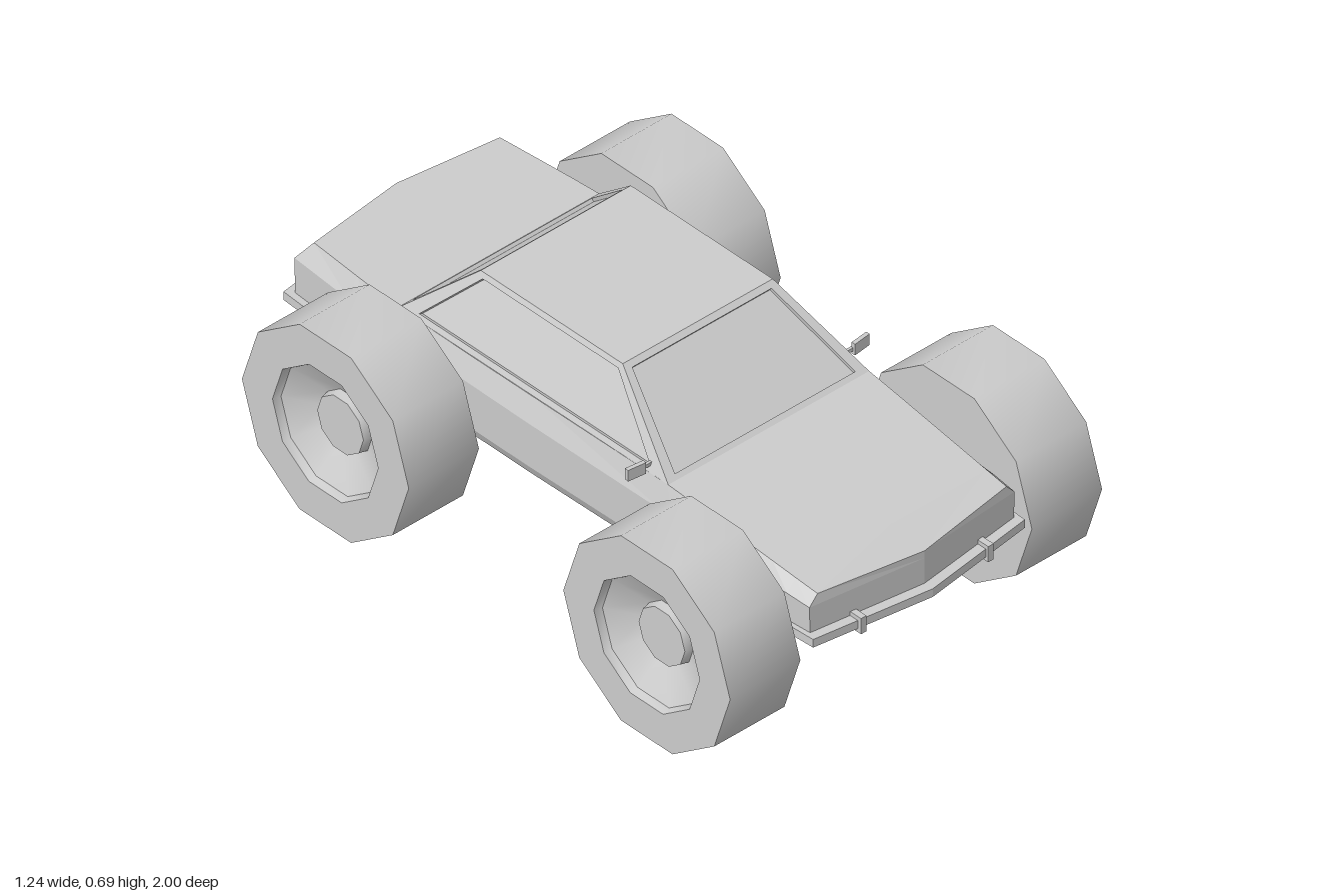
import * as THREE from 'three';
import { toCreasedNormals } from 'three/addons/utils/BufferGeometryUtils.js';

const flat = new THREE.MeshStandardMaterial({ color: 0xcccccc, flatShading: true });
const smooth = new THREE.MeshStandardMaterial({ color: 0xcccccc });

// Turns a list of four-cornered faces into a geometry, skipping empty triangles
function quadGeometry(quads) {
  const pos = [];
  const tri = new THREE.Triangle();
  for (const [a, b, c, d] of quads) {
    for (const t of [[a, b, c], [a, c, d]]) {
      tri.set(...t);
      if (tri.getArea() > 1e-7) t.forEach((p) => pos.push(p.x, p.y, p.z));
    }
  }
  const g = new THREE.BufferGeometry();
  g.setAttribute('position', new THREE.Float32BufferAttribute(pos, 3));
  g.computeVertexNormals();
  return g;
}

function addMesh(parent, name, geometry, material = flat) {
  const mesh = new THREE.Mesh(geometry, material);
  mesh.name = name;
  parent.add(mesh);
  return mesh;
}

const V = (x, y, z) => new THREE.Vector3(x, y, z);

// One cross-section: left-hand rows from shoulder to floor, plus the centre line
function section(z, rows, bow = 0, shift = [0, 0, 0, 0, 0], crown = 0) {
  const left = rows.map(([x, y], i) => V(x, y, z + shift[i]));
  const mid = left.map((p, i) => V(0, p.y + (i === 0 ? crown : 0), p.z + bow));
  const right = left.map((p) => V(-p.x, p.y, p.z));
  const ring = [mid[0], ...left, mid[4], ...right.slice().reverse()];
  return { left, mid, right, ring };
}

// Rows are shoulder, belt, sill, inner sill and floor edge
function bodyRows(sx, sy, bx, by, floor, arch) {
  return arch
    ? [[sx, sy], [bx, by], [bx, by - 0.02], [0.245, by - 0.02], [0.245, floor]]
    : [[sx, sy], [bx, by], [bx - 0.003, 0.3], [bx - 0.003, 0.3], [bx - 0.02, floor]];
}

// Lower body with wheel arches and bowed ends
function bodyGeometry() {
  const s = [
    section(0.925, bodyRows(0.315, 0.445, 0.342, 0.415, 0.287), 0.045, [0, 0, 0, 0, 0], -0.008),
    section(0.85, bodyRows(0.318, 0.453, 0.347, 0.42, 0.287)),
    section(0.77, bodyRows(0.321, 0.462, 0.35, 0.422, 0.285, true)),
    section(0.52, bodyRows(0.331, 0.489, 0.354, 0.429, 0.27, true)),
    section(0.44, bodyRows(0.334, 0.497, 0.355, 0.43, 0.265)),
    section(0.41, bodyRows(0.335, 0.5, 0.355, 0.43, 0.265)),
    section(-0.07, bodyRows(0.337, 0.5, 0.361, 0.435, 0.265)),
    section(-0.31, bodyRows(0.337, 0.5, 0.36, 0.437, 0.265)),
    section(-0.39, bodyRows(0.336, 0.5, 0.359, 0.438, 0.268, true)),
    section(-0.56, bodyRows(0.335, 0.5, 0.356, 0.44, 0.275, true)),
    section(-0.64, bodyRows(0.33, 0.5, 0.354, 0.441, 0.28, true)),
    section(-0.72, bodyRows(0.324, 0.5, 0.352, 0.442, 0.285)),
    section(-0.93, bodyRows(0.31, 0.5, 0.338, 0.445, 0.29), -0.038, [0.04, 0, 0, 0, 0.01]),
  ];
  const quads = [];
  for (let i = 0; i < s.length - 1; i++) {
    const a = s[i].ring, b = s[i + 1].ring, n = a.length;
    for (let j = 0; j < n; j++) quads.push([a[j], a[(j + 1) % n], b[(j + 1) % n], b[j]]);
  }
  const f = s[0], r = s[s.length - 1];
  for (let j = 0; j < 4; j++) {
    quads.push([f.right[j], f.right[j + 1], f.mid[j + 1], f.mid[j]]);
    quads.push([f.mid[j], f.mid[j + 1], f.left[j + 1], f.left[j]]);
    quads.push([r.left[j], r.left[j + 1], r.mid[j + 1], r.mid[j]]);
    quads.push([r.mid[j], r.mid[j + 1], r.right[j + 1], r.right[j]]);
  }
  return quadGeometry(quads);
}

// Frame and recessed glass on a panel: lower left, lower right, upper right, upper left
function addWindow(parent, name, corners, mu, low, high, depth) {
  const [a, b, c, d] = corners;
  const at = (u, v) => a.clone().lerp(b, u).lerp(d.clone().lerp(c, u), v);
  const inner = [at(mu, low), at(1 - mu, low), at(1 - mu, 1 - high), at(mu, 1 - high)];
  const normal = b.clone().sub(a).cross(d.clone().sub(a)).normalize();
  const glass = inner.map((p) => p.clone().addScaledVector(normal, -depth));
  const frame = [];
  for (let i = 0; i < 4; i++) {
    const k = (i + 1) % 4;
    frame.push([corners[i], corners[k], inner[k], inner[i]]);
    frame.push([inner[i], inner[k], glass[k], glass[i]]);
  }
  addMesh(parent, name + 'Frame', quadGeometry(frame));
  addMesh(parent, name, quadGeometry([glass]));
}

function buildCabin() {
  const cabin = new THREE.Group();
  cabin.name = 'cabin';
  const fl = V(0.335, 0.5, 0.41), fr = V(-0.335, 0.5, 0.41);
  const bl = V(0.335, 0.5, -0.56), br = V(-0.335, 0.5, -0.56);
  const tfl = V(0.25, 0.685, 0.155), tfr = V(-0.25, 0.685, 0.155);
  const tbl = V(0.25, 0.685, -0.355), tbr = V(-0.25, 0.685, -0.355);
  addMesh(cabin, 'roof', quadGeometry([[tfr, tfl, tbl, tbr]]));
  addWindow(cabin, 'windshield', [fr, fl, tfl, tfr], 0.045, 0.05, 0.06, 0.01);
  addWindow(cabin, 'rearWindow', [bl, br, tbr, tbl], 0.045, 0.05, 0.06, 0.01);
  addWindow(cabin, 'leftSideWindow', [fl, bl, tbl, tfl], 0.055, 0.08, 0.08, 0.012);
  addWindow(cabin, 'rightSideWindow', [br, fr, tfr, tbr], 0.055, 0.08, 0.08, 0.012);
  return cabin;
}

// Thin bumper from half of its plan outline, mirrored
function bumperGeometry(half) {
  const pts = [...half, ...half.slice(0, -1).reverse().map(([x, z]) => [-x, z])];
  const shape = new THREE.Shape(pts.map(([x, z]) => new THREE.Vector2(x, z)));
  const g = new THREE.ExtrudeGeometry(shape, { depth: 0.025, bevelEnabled: false });
  return g.rotateX(Math.PI / 2).translate(0, 0.337, 0);
}

// Ten-sided wheel with a dished hub facing +x
function wheelGeometry() {
  const R = 0.285 / Math.cos(Math.PI / 10), w = 0.117;
  const profile = [[0, -w], [R, -w], [R, w], [0.19, w], [0.183, w - 0.022],
    [0.088, w - 0.075], [0.083, w - 0.05], [0, w - 0.05]];
  const g = new THREE.LatheGeometry(profile.map(([r, y]) => new THREE.Vector2(r, y)), 10);
  return toCreasedNormals(g.rotateZ(-Math.PI / 2), 0.65);
}

export function createModel() {
  const car = new THREE.Group();
  car.name = 'car';
  addMesh(car, 'body', bodyGeometry());
  car.add(buildCabin());

  addMesh(car, 'frontBumper', bumperGeometry(
    [[0.33, 0.77], [0.362, 0.785], [0.353, 0.95], [0, 1]]));
  addMesh(car, 'rearBumper', bumperGeometry(
    [[0.34, -0.65], [0.372, -0.67], [0.354, -0.952], [0, -1]]));

  const wheel = wheelGeometry();
  for (const side of [1, -1]) {
    const label = side > 0 ? 'left' : 'right';
    // Wheels
    for (const [end, z] of [['Front', 0.64], ['Rear', -0.515]]) {
      const m = addMesh(car, label + end + 'Wheel', wheel, smooth);
      m.position.set(side * 0.503, 0.285, z);
      if (side < 0) m.rotation.y = Math.PI;
    }
    // Bumper guards
    addMesh(car, label + 'BumperGuard', new THREE.BoxGeometry(0.018, 0.048, 0.05))
      .position.set(side * 0.212, 0.325, 0.955);
    // Door mirrors
    addMesh(car, label + 'MirrorStem', new THREE.BoxGeometry(0.03, 0.01, 0.008))
      .position.set(side * 0.335, 0.52, 0.335);
    const mirror = addMesh(car, label + 'Mirror', new THREE.BoxGeometry(0.055, 0.034, 0.012));
    mirror.position.set(side * 0.375, 0.522, 0.336);
    mirror.rotation.y = side * 0.12;
  }
  return car;
}
